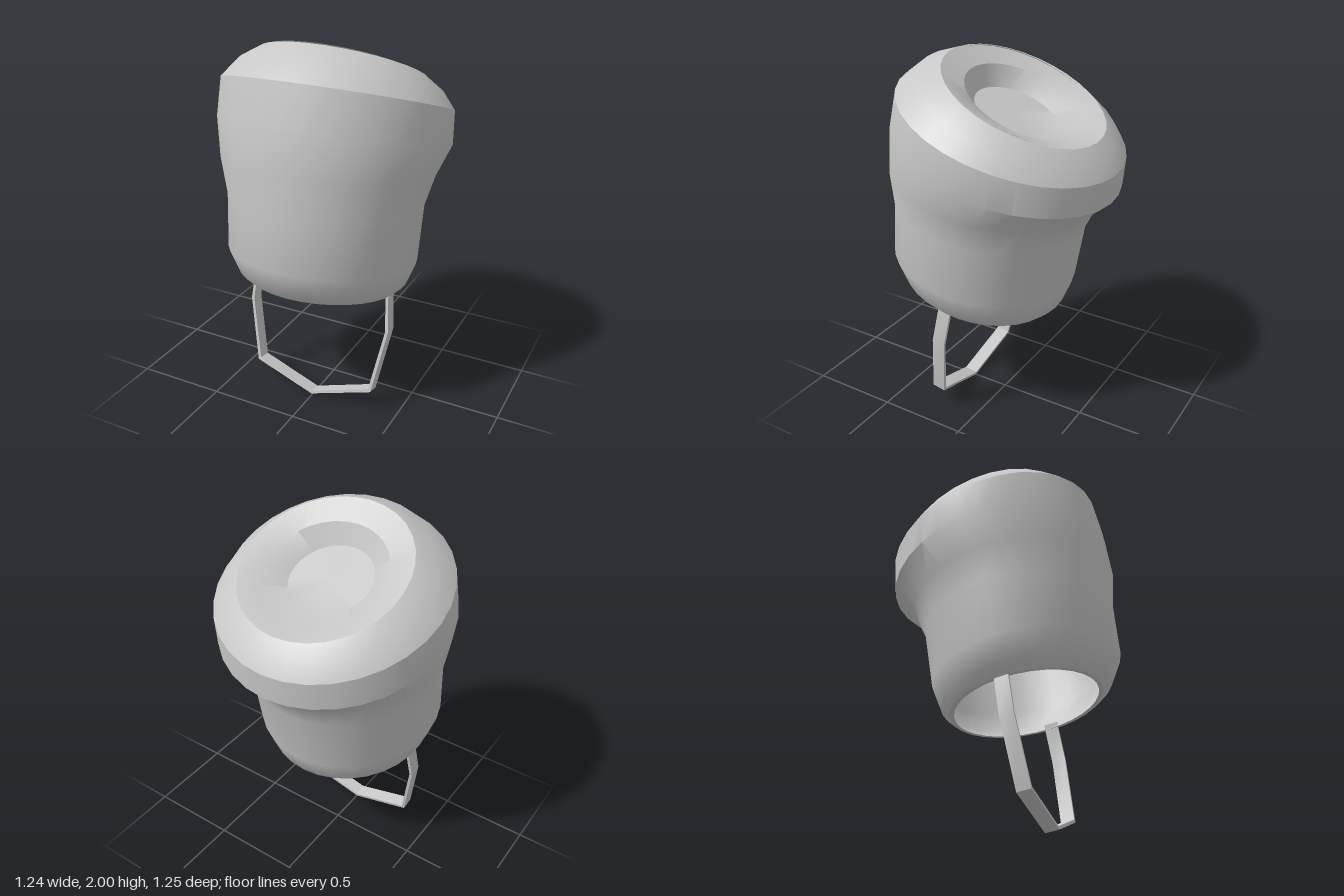
import * as THREE from 'three';
import { toCreasedNormals } from 'three/addons/utils/BufferGeometryUtils.js';

const SEGMENTS = 32;
const CREASE = Math.PI / 6;
const SHELL = 0.024;

// Loft of tilted circles, each given by its front and back points [zFront, yFront, zBack, yBack]
function loft(rings) {
  const pos = [];
  const index = [];
  const radius = rings.map(([zf, yf, zb, yb]) => Math.hypot(zf - zb, yf - yb) / 2);
  rings.forEach(([zf, yf, zb, yb], i) => {
    for (let j = 0; j < SEGMENTS; j++) {
      const a = (j / SEGMENTS) * Math.PI * 2;
      const c = Math.cos(a);
      pos.push(
        radius[i] * Math.sin(a),
        (yf + yb) / 2 + ((yf - yb) / 2) * c,
        (zf + zb) / 2 + ((zf - zb) / 2) * c
      );
    }
  });
  for (let i = 0; i < rings.length - 1; i++) {
    for (let j = 0; j < SEGMENTS; j++) {
      const k = (j + 1) % SEGMENTS;
      const a = i * SEGMENTS + j, b = i * SEGMENTS + k;
      const c = a + SEGMENTS, d = b + SEGMENTS;
      if (radius[i] > 0) index.push(a, b, d);
      if (radius[i + 1] > 0) index.push(a, d, c);
    }
  }
  const geo = new THREE.BufferGeometry();
  geo.setAttribute('position', new THREE.Float32BufferAttribute(pos, 3));
  geo.setIndex(index);
  return toCreasedNormals(geo, CREASE);
}

export function createModel() {
  const model = new THREE.Group();
  const grey = new THREE.MeshStandardMaterial({ color: 0xc8c8c8 });
  grey.name = 'plain grey';

  // Outer wall, from the opening up to the sloping top edge
  const wall = [
    [0.53, 0.75, -0.28, 0.607],
    [0.577, 0.80, -0.325, 0.645],
    [0.63, 0.94, -0.375, 0.77],
    [0.605, 1.22, -0.43, 1.10],
    [0.615, 1.43, -0.50, 1.24],
    [0.58, 1.66, -0.612, 1.33],
    [0.53, 1.872, -0.625, 1.48],
    [0.41, 1.962, -0.582, 1.56],
    [0.285, 2.0, -0.52, 1.63]
  ];
  // Dished crown with a deeper hollow towards the front
  const crown = [
    [0.285, 2.0, -0.52, 1.63],
    [0.175, 1.915, -0.42, 1.637],
    [0.142, 1.80, -0.265, 1.63],
    [-0.06, 1.715, -0.06, 1.715]
  ];
  // Lining follows the inside of the crown and wall down to the lip of the opening
  const lining = [
    ...crown.slice(1).map(([zf, yf, zb, yb]) => [zf, yf - SHELL, zb, yb - SHELL]).reverse(),
    ...wall.map(([zf, yf, zb, yb]) => [zf - SHELL, yf, zb + SHELL, yb]).reverse(),
    wall[0]
  ];
  const hat = new THREE.Group();
  hat.name = 'hat';
  for (const [name, rings] of Object.entries({ lining, wall, crown })) {
    const mesh = new THREE.Mesh(loft(rings), grey);
    mesh.name = name;
    hat.add(mesh);
  }
  model.add(hat);

  // Chin strap: thin angular band, mirrored left to right
  const outer = [[0.405, 0.03], [0.425, -0.2], [0.357, -0.568], [0, -0.683]];
  const inner = [[0, -0.666], [0.342, -0.554], [0.409, -0.2], [0.389, 0.03]];
  const mirror = (pts) => pts.map(([x, y]) => [-x, y]).reverse();
  const outline = [
    ...outer, ...mirror(outer).slice(1),
    ...mirror(inner), ...inner.slice(1)
  ].map(([x, y]) => new THREE.Vector2(x, y));
  const width = 0.075;
  const strapGeo = new THREE.ExtrudeGeometry(new THREE.Shape(outline), { depth: width, bevelEnabled: false });
  strapGeo.translate(0, 0, -width / 2);
  const strap = new THREE.Mesh(toCreasedNormals(strapGeo, CREASE), grey);
  strap.name = 'chinStrap';
  strap.position.set(0, 0.68, 0.135);
  strap.rotation.x = -0.165;
  model.add(strap);

  return model;
}
